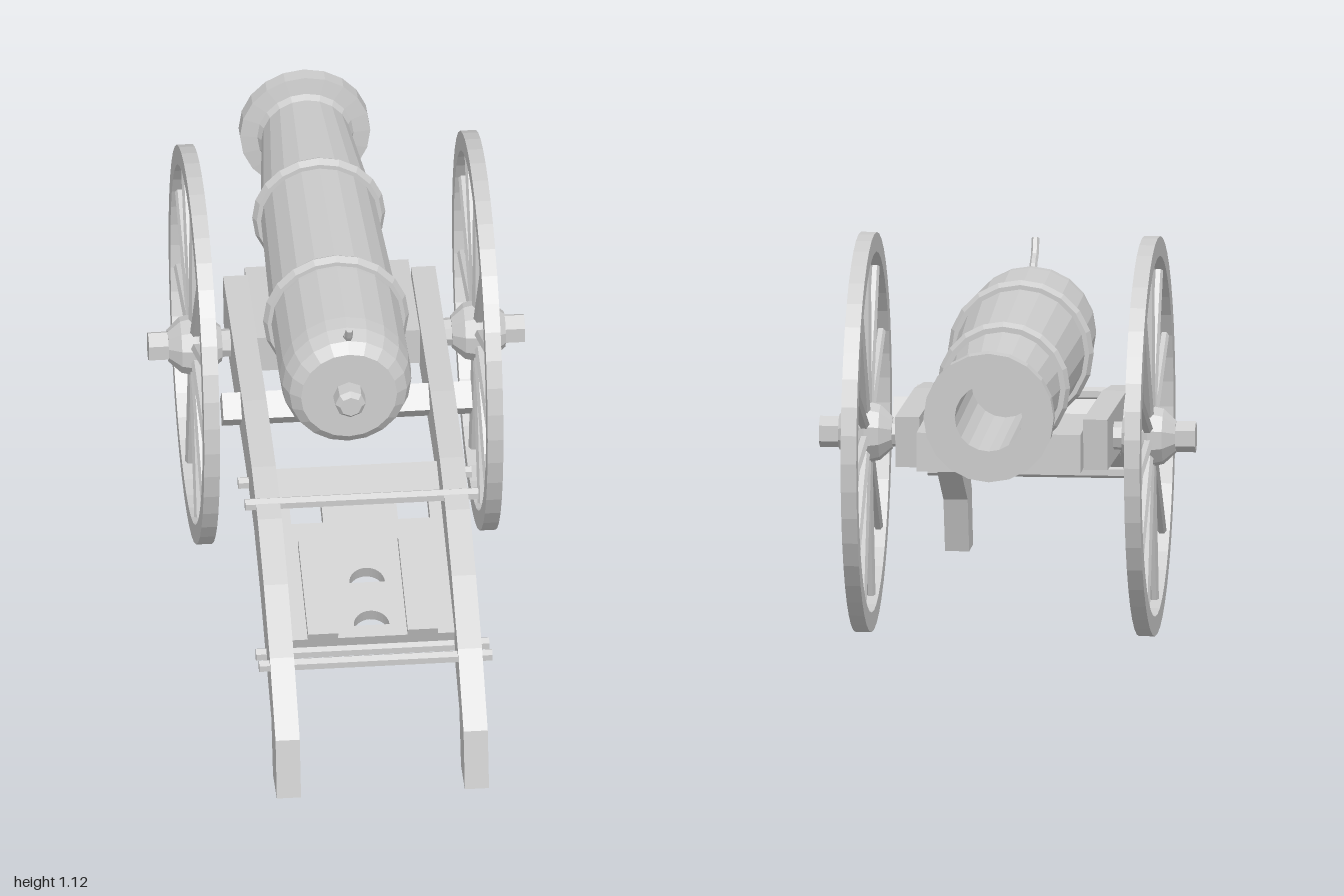
import * as THREE from 'three';

export function createModel() {
  const grey = new THREE.MeshStandardMaterial({ color: 0xcccccc, flatShading: true });
  grey.name = 'grey';

  // The gun is built pointing along +x, then turned diagonally
  const gun = new THREE.Group();
  gun.name = 'fieldGun';
  gun.rotation.y = 0.74;

  const add = (name, geometry, x = 0, y = 0, z = 0, parent = gun) => {
    const mesh = new THREE.Mesh(geometry, grey);
    mesh.name = name;
    mesh.position.set(x, y, z);
    parent.add(mesh);
    return mesh;
  };
  const crossRod = (name, x, y, r, length, sides, z = 0, parent = gun) =>
    add(name, new THREE.CylinderGeometry(r, r, length, sides).rotateX(Math.PI / 2), x, y, z, parent);
  const lathe = (points, sides) =>
    new THREE.LatheGeometry(points.map(([r, h]) => new THREE.Vector2(r, h)), sides);

  // Barrel with breech, bands, muzzle ring and bore
  const barrel = new THREE.Group();
  barrel.name = 'barrel';
  barrel.position.set(-0.22, 0.768, -0.018);
  barrel.rotation.z = -Math.PI / 2 - 0.02;
  gun.add(barrel);
  add('barrelTube', lathe([
    [0, 0], [0.135, 0], [0.165, 0.025], [0.181, 0.07], [0.185, 0.12], [0.183, 0.38],
    [0.163, 0.95], [0.125, 1.35], [0.135, 1.368], [0.183, 1.375], [0.183, 1.42],
    [0.095, 1.42], [0.095, 0.9], [0, 0.9],
  ], 20), 0, 0, 0, barrel);
  for (const [h, r] of [[0.41, 0.183], [0.95, 0.165]]) {
    add('barrelBand', new THREE.TorusGeometry(r, 0.022, 6, 20).rotateX(Math.PI / 2), 0, h, 0, barrel);
  }
  add('breechKnob', lathe([[0, -0.06], [0.03, -0.06], [0.043, -0.045], [0.045, 0.01]], 8), 0, 0, 0, barrel);

  // Curved fuse on the breech
  const fuse = new THREE.CatmullRomCurve3([
    new THREE.Vector3(-0.16, 0.92, 0), new THREE.Vector3(-0.19, 0.95, 0),
    new THREE.Vector3(-0.225, 0.965, 0), new THREE.Vector3(-0.25, 1.01, 0),
  ]);
  add('fuse', new THREE.TubeGeometry(fuse, 8, 0.011, 6), 0, 0, -0.02);

  // Bent side rails of the carriage
  const rail = new THREE.Shape([
    [-1.08, 0], [-0.96, 0], [-0.91, 0.155], [-0.75, 0.245], [-0.55, 0.358], [-0.37, 0.435],
    [-0.2, 0.465], [-0.05, 0.475], [0.59, 0.495], [0.605, 0.64], [0, 0.622], [-0.29, 0.59],
    [-0.48, 0.54], [-0.67, 0.445], [-0.86, 0.325], [-1.04, 0.167],
  ].map(([x, y]) => new THREE.Vector2(x, y)));
  const railGeometry = new THREE.ExtrudeGeometry(rail, { depth: 0.068, bevelEnabled: false });
  add('leftRail', railGeometry, 0, 0, 0.23);
  add('rightRail', railGeometry, 0, 0, -0.298);

  // Sloping floor board with two square and two half-moon openings
  const board = new THREE.Group();
  board.name = 'floorBoard';
  board.position.set(-0.75, 0.28, 0);
  board.rotation.z = 0.343;
  gun.add(board);
  const floor = new THREE.Shape();
  floor.moveTo(0, -0.23).lineTo(0.6, -0.23).lineTo(0.6, 0.23).lineTo(0, 0.23).closePath();
  for (const side of [-1, 1]) {
    const square = new THREE.Path();
    const z = side * 0.15;
    square.moveTo(0.405, z - 0.045).lineTo(0.405, z + 0.045)
      .lineTo(0.495, z + 0.045).lineTo(0.495, z - 0.045).closePath();
    floor.holes.push(square);
    const moon = new THREE.Path();
    moon.absarc(side > 0 ? 0.19 : 0.04, 0, 0.05, -Math.PI / 2, Math.PI / 2, false);
    moon.closePath();
    floor.holes.push(moon);
    add('sideBoard', new THREE.BoxGeometry(0.33, 0.025, 0.085), 0.165, 0.05, side * 0.14, board);
  }
  add('board', new THREE.ExtrudeGeometry(floor, { depth: 0.04, bevelEnabled: false, curveSegments: 8 })
    .rotateX(-Math.PI / 2), 0, 0, 0, board);

  // Cross rods through the rails, square tie bar and front bed
  for (const [x, y] of [[-0.85, 0.294], [-0.75, 0.267], [-0.41, 0.545], [-0.195, 0.476]]) {
    crossRod('crossRod', x, y, 0.018, 0.655, 6);
  }
  crossRod('tieBar', 0.065, 0.553, 0.055, 0.7, 4);
  add('frontBed', new THREE.BoxGeometry(0.36, 0.11, 0.46), 0.51, 0.555, 0);
  crossRod('axle', 0.39, 0.56, 0.04, 0.8, 8);

  // Spoked wheels
  const rimShape = new THREE.Shape().absarc(0, 0, 0.56, 0, Math.PI * 2, false);
  rimShape.holes.push(new THREE.Path().absarc(0, 0, 0.505, 0, Math.PI * 2, true));
  const rimGeometry = new THREE.ExtrudeGeometry(rimShape, { depth: 0.044, bevelEnabled: false, curveSegments: 22 });
  const spokeGeometry = new THREE.CylinderGeometry(0.013, 0.016, 0.46, 6).translate(0, 0.285, 0);
  const hubGeometry = lathe([
    [0, -0.075], [0.045, -0.075], [0.078, -0.04], [0.088, 0], [0.078, 0.04], [0.05, 0.075], [0, 0.075],
  ], 10).rotateX(Math.PI / 2);
  for (const side of [1, -1]) {
    const wheel = new THREE.Group();
    wheel.name = side > 0 ? 'leftWheel' : 'rightWheel';
    wheel.position.set(0.39, 0.56, side * 0.398);
    gun.add(wheel);
    add('rim', rimGeometry, 0, 0, -0.022, wheel);
    add('hub', hubGeometry, 0, 0, 0, wheel);
    crossRod('axleNut', 0, 0, 0.044, 0.08, 6, side * 0.09, wheel);
    for (let i = 0; i < 11; i++) {
      add('spoke', spokeGeometry, 0, 0, 0, wheel).rotation.z = (i / 11) * Math.PI * 2;
    }
  }

  const model = new THREE.Group();
  model.name = 'cannon';
  model.add(gun);
  return model;
}
